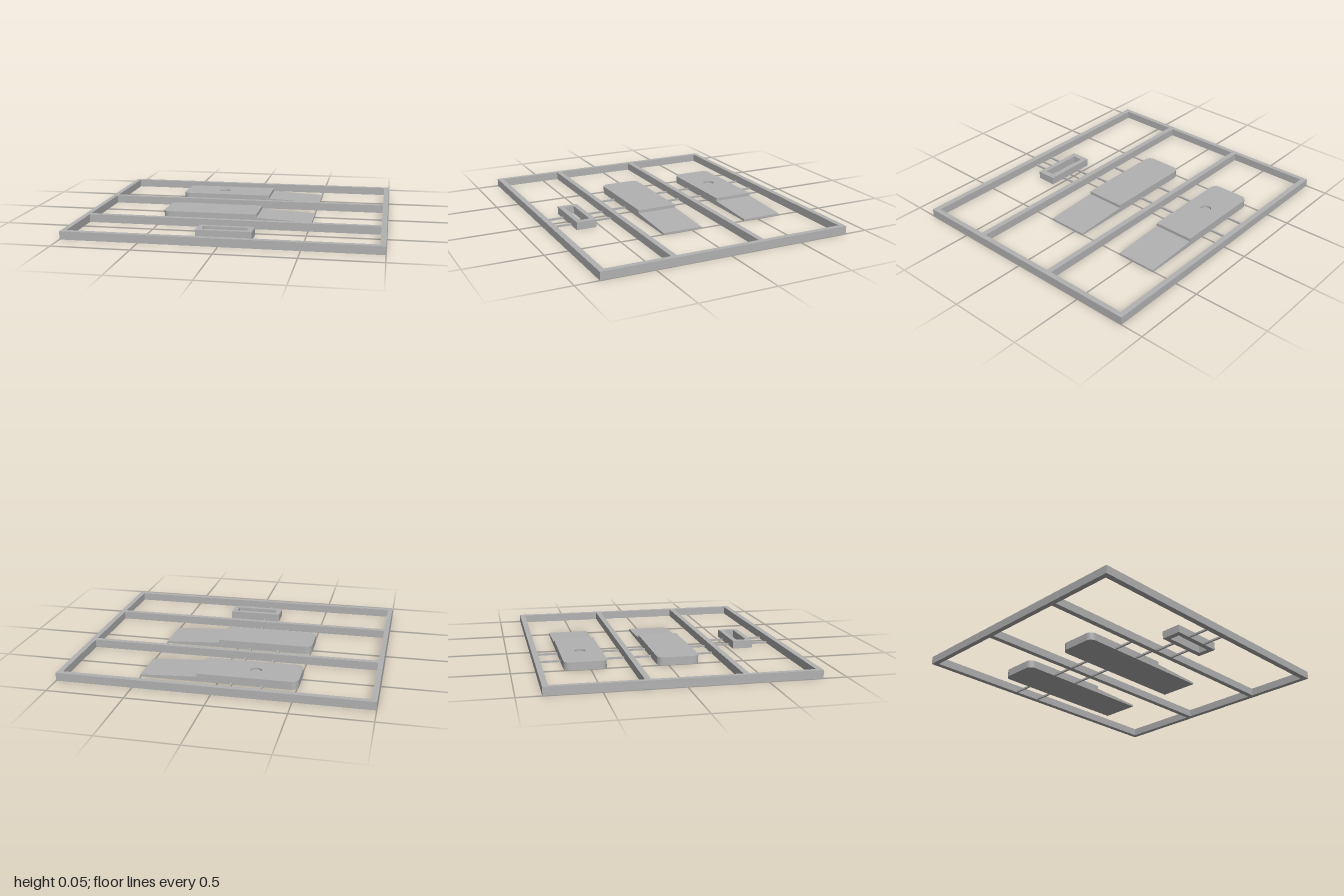
import * as THREE from 'three';

const H = 0.053; // overall thickness

export function createModel() {
  const model = new THREE.Group();
  const grey = new THREE.MeshStandardMaterial({ color: 0xb2b2b2 });
  grey.name = 'plain grey';

  const add = (name, geometry, parent = model) => {
    const mesh = new THREE.Mesh(geometry, grey);
    mesh.name = name;
    parent.add(mesh);
    return mesh;
  };

  // Rectangle in plan, given by x and z limits (shape y is -z)
  const rect = (x0, x1, z0, z1, Type = THREE.Shape) => new Type([
    new THREE.Vector2(x0, -z1), new THREE.Vector2(x1, -z1),
    new THREE.Vector2(x1, -z0), new THREE.Vector2(x0, -z0),
  ]);

  // Plan outline raised from y0 to y1
  const raise = (shape, y0, y1) =>
    new THREE.ExtrudeGeometry(shape, { depth: y1 - y0, bevelEnabled: false, curveSegments: 12 })
      .rotateX(-Math.PI / 2).translate(0, y0, 0);

  // Outer frame with two cross bars, leaving three bays
  const frame = rect(-1, 1, -0.847, 0.847);
  for (const [z0, z1] of [[-0.811, -0.249], [-0.213, 0.35], [0.386, 0.809]]) {
    frame.holes.push(rect(-0.967, 0.965, z0, z1, THREE.Path));
  }
  add('frame', raise(frame, 0, H));

  // Flat paddle: rounded grip, then a step down to a tapering blade
  const gripShape = () => {
    const r = 0.045, x0 = -0.508, x1 = 0.134, w = 0.1375;
    const s = new THREE.Shape();
    s.moveTo(x1, -w);
    s.lineTo(x1, w);
    s.lineTo(x0 + r, w);
    s.absarc(x0 + r, w - r, r, Math.PI / 2, Math.PI, false);
    s.lineTo(x0, -w + r);
    s.absarc(x0 + r, -w + r, r, Math.PI, Math.PI * 1.5, false);
    s.closePath();
    return s;
  };
  const addPaddle = (name, z, dimpled) => {
    const paddle = new THREE.Group();
    paddle.name = name;
    paddle.position.z = z;
    const floor = dimpled ? 0.04 : H;
    add('grip', raise(gripShape(), 0, floor), paddle);
    if (dimpled) {
      // Upper layer pierced to form a shallow round recess
      const top = gripShape();
      top.holes.push(new THREE.Path().absarc(-0.219, 0, 0.037, 0, Math.PI * 2, true));
      add('gripTop', raise(top, floor, H), paddle);
    }
    const side = new THREE.Shape([
      new THREE.Vector2(0.134, 0), new THREE.Vector2(0.505, 0),
      new THREE.Vector2(0.505, 0.013), new THREE.Vector2(0.134, 0.032),
    ]);
    add('blade', new THREE.ExtrudeGeometry(side, { depth: 0.275, bevelEnabled: false })
      .translate(0, 0, -0.1375), paddle);
    model.add(paddle);
  };
  addPaddle('dimpledPaddle', -0.531, true);
  addPaddle('plainPaddle', 0.068, false);

  // Small rectangular ring
  const ring = rect(-0.181, 0.179, 0.53, 0.666);
  ring.holes.push(rect(-0.145, 0.142, 0.564, 0.632, THREE.Path));
  add('ring', raise(ring, 0, H));

  // Thin runners joining the parts to the frame
  const addRunner = (x, z0, z1) =>
    add('runner', raise(rect(x - 0.006, x + 0.006, z0, z1), 0, 0.012));
  for (const x of [-0.283, -0.091]) {
    for (const [z0, z1] of [[-0.811, -0.6685], [-0.3935, -0.249], [-0.213, -0.0695], [0.2055, 0.35]]) {
      addRunner(x, z0, z1);
    }
  }
  for (const x of [-0.075, 0.069]) {
    addRunner(x, 0.386, 0.53);
    addRunner(x, 0.666, 0.809);
  }

  return model;
}
